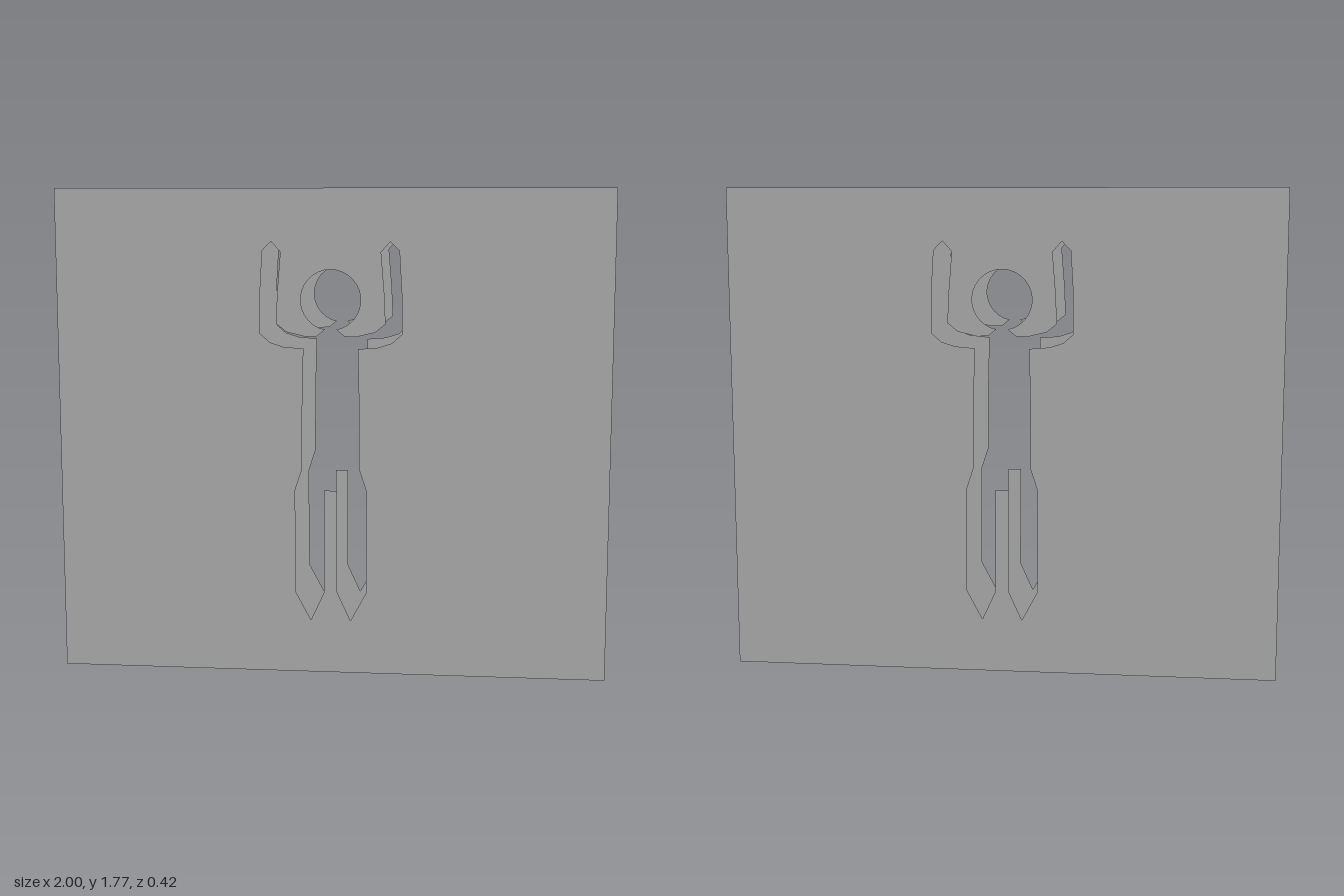
import * as THREE from 'three';

const W = 2, H = 1.77, D = 0.424;

// Right half of the figure outline, from neck round the arm and leg to the crotch
const HALF = [
  [0.05, 1.245], [0.09, 1.243], [0.16, 1.26], [0.197, 1.29],
  [0.192, 1.4], [0.18, 1.545], [0.213, 1.582], [0.245, 1.55],
  [0.254, 1.4], [0.255, 1.253], [0.22, 1.222], [0.17, 1.206],
  [0.098, 1.2], [0.103, 0.99], [0.104, 0.763], [0.13, 0.683],
  [0.13, 0.304], [0.073, 0.197], [0.024, 0.304], [0.024, 0.683],
];

// Closed figure outline: round head on top, mirrored body halves below
function figurePath() {
  const points = [];
  const gap = 0.19, steps = 28, r = 0.108;
  for (let i = 0; i <= steps; i++) {
    const a = -Math.PI / 2 - gap + (i / steps) * (2 * gap - 2 * Math.PI);
    points.push(new THREE.Vector2(r * Math.cos(a), 1.375 + r * Math.sin(a)));
  }
  HALF.forEach(([x, y]) => points.push(new THREE.Vector2(x, y)));
  [...HALF].reverse().forEach(([x, y]) => points.push(new THREE.Vector2(-x, y)));
  return new THREE.Path(points);
}

export function createModel() {
  const model = new THREE.Group();
  model.name = 'hollowSlab';
  const material = new THREE.MeshStandardMaterial({ color: 0xcccccc, side: THREE.DoubleSide });

  const add = (name, geometry, position, rotation = [0, 0, 0]) => {
    const mesh = new THREE.Mesh(geometry, material);
    mesh.name = name;
    mesh.position.set(...position);
    mesh.rotation.set(...rotation);
    model.add(mesh);
  };

  // Front and back plates with the figure cut out
  const plate = new THREE.Shape([
    new THREE.Vector2(-W / 2, 0), new THREE.Vector2(W / 2, 0),
    new THREE.Vector2(W / 2, H), new THREE.Vector2(-W / 2, H),
  ]);
  plate.holes.push(figurePath());
  const plateGeometry = new THREE.ShapeGeometry(plate);
  add('frontPlate', plateGeometry, [0, 0, D / 2]);
  add('backPlate', plateGeometry, [0, 0, -D / 2], [0, Math.PI, 0]);

  // Thin panels closing the four edges; the inside stays hollow
  const q = Math.PI / 2;
  const cap = new THREE.PlaneGeometry(W, D);
  const side = new THREE.PlaneGeometry(D, H);
  add('topPanel', cap, [0, H, 0], [-q, 0, 0]);
  add('bottomPanel', cap, [0, 0, 0], [q, 0, 0]);
  add('leftPanel', side, [W / 2, H / 2, 0], [0, q, 0]);
  add('rightPanel', side, [-W / 2, H / 2, 0], [0, -q, 0]);

  return model;
}
